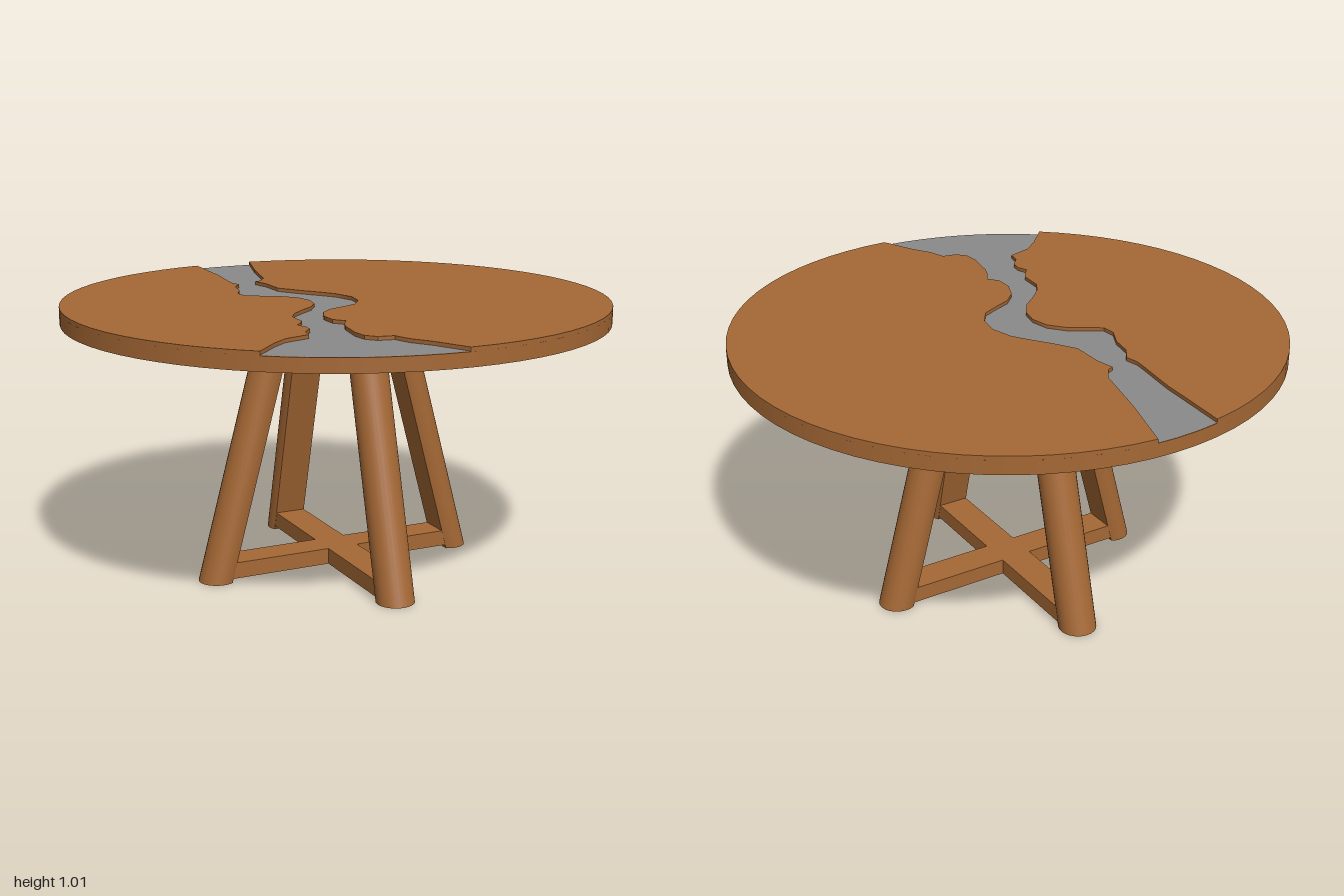
import * as THREE from 'three';
import { toCreasedNormals } from 'three/addons/utils/BufferGeometryUtils.js';

const mat = (name, color) => {
  const m = new THREE.MeshStandardMaterial({ color });
  m.name = name;
  return m;
};

// River banks on the table top, back to front, as [x, z]
const leftBank = [
  [-.17, -.985], [-.18, -.8], [-.185, -.7], [-.205, -.55], [-.21, -.5], [-.2, -.45], [-.235, -.4],
  [-.25, -.32], [-.285, -.25], [-.28, -.2], [-.23, -.165], [-.17, -.13], [-.12, -.07], [-.105, 0],
  [-.12, .07], [-.16, .13], [-.22, .18], [-.27, .23], [-.3, .28], [-.305, .37], [-.33, .41],
  [-.35, .43], [-.335, .47], [-.34, .51], [-.375, .55], [-.385, .6], [-.48, .63], [-.54, .68], [-.63, .777],
];
const rightBank = [
  [.07, -.998], [.04, -.9], [0, -.77], [-.03, -.65], [-.055, -.55], [-.09, -.5], [-.115, -.49],
  [-.1, -.42], [-.1, -.3], [-.05, -.22], [0, -.15], [.04, -.09], [.065, 0], [.05, .08], [.01, .14],
  [-.05, .17], [-.12, .2], [-.17, .25], [-.2, .32], [-.2, .39], [-.17, .43], [-.2, .48], [-.215, .52],
  [-.235, .63], [-.23, .69], [-.2, .725], [-.145, .735], [-.125, .8], [-.08, .87], [-.02, 1],
];

// Points along the table rim between two angles in degrees (90 is the back)
function rim(from, to) {
  const n = Math.max(2, Math.round(Math.abs(to - from) / 5));
  const pts = [];
  for (let i = 1; i < n; i++) {
    const a = THREE.MathUtils.degToRad(from + (to - from) * i / n);
    pts.push([Math.cos(a), -Math.sin(a)]);
  }
  return pts;
}

const toShape = (pts) => new THREE.Shape(pts.map(([x, z]) => new THREE.Vector2(x, -z)));

// Flat outline raised upwards from y0 to y1
function slab(pts, y0, y1) {
  const g = new THREE.ExtrudeGeometry(toShape(pts), { depth: y1 - y0, bevelEnabled: false });
  g.rotateX(-Math.PI / 2).translate(0, y0, 0);
  return toCreasedNormals(g, 0.5);
}

// Plus-shaped outline with arm length r and half width w
const plus = (r, w) => [
  [w, -r], [w, -w], [r, -w], [r, w], [w, w], [w, r], [-w, r], [-w, w], [-r, w], [-r, -w], [-w, -w], [-w, -r],
];

export function createModel() {
  const model = new THREE.Group();
  model.name = 'roundTable';
  const wood = mat('wood', 0xa56835);
  const resin = mat('riverGrey', 0x8a8a8a);
  const plywood = mat('paleWood', 0xc8a468);
  const add = (name, geometry, material, x = 0, y = 0, z = 0) => {
    const m = new THREE.Mesh(geometry, material);
    m.name = name;
    m.position.set(x, y, z);
    model.add(m);
    return m;
  };

  // Table top: full disc with two raised halves around a sunken river
  add('topBase', new THREE.CylinderGeometry(1, 1, 0.05, 72), wood, 0, 0.975, 0);
  add('topLeftSlab', slab([...leftBank, ...rim(231, 99.8)], 1, 1.015), wood);
  add('topRightSlab', slab([...rightBank, ...rim(-91.1, 86)], 1, 1.015), wood);
  const river = new THREE.ShapeGeometry(toShape(
    [...leftBank, ...rim(231, 268.9), ...[...rightBank].reverse(), ...rim(86, 99.8)]));
  add('river', river.rotateX(-Math.PI / 2), resin, 0, 1.002, 0);

  // Stiffening bars let into the underside
  for (const [x, length] of [[-0.72, 0.96], [0, 1.67], [0.72, 0.96]]) {
    add('stiffener', new THREE.BoxGeometry(0.05, 0.006, length), resin, x, 0.95, 0);
  }

  // Mounting plate and its screws
  add('mountingPlate', new THREE.BoxGeometry(0.635, 0.024, 0.635), plywood, 0, 0.938, 0);
  for (const x of [-0.22, 0.22]) for (const z of [-0.22, 0.22]) {
    add('screw', new THREE.CylinderGeometry(0.012, 0.012, 0.004, 12), resin, x, 0.925, z);
  }

  // Legs: round outside, flat inside, leaning inwards
  const section = [];
  for (let i = 0; i <= 20; i++) {
    const a = THREE.MathUtils.degToRad(-120 + 12 * i);
    section.push([0.07 * Math.cos(a), -0.07 * Math.sin(a)]);
  }
  const legGeometry = slab(section, 0, 0.927);
  const p = legGeometry.attributes.position;
  for (let i = 0; i < p.count; i++) p.setX(i, p.getX(i) + 0.485 - 0.27 * p.getY(i));
  const leg = toCreasedNormals(legGeometry, 0.5);
  for (let i = 0; i < 4; i++) add('leg', leg, wood).rotation.y = i * Math.PI / 2;

  // Crossed braces joining the legs
  add('lowerCross', slab(plus(0.46, 0.06), 0.015, 0.075), wood);
  add('upperCross', slab(plus(0.23, 0.03), 0.865, 0.926), wood);

  return model;
}
